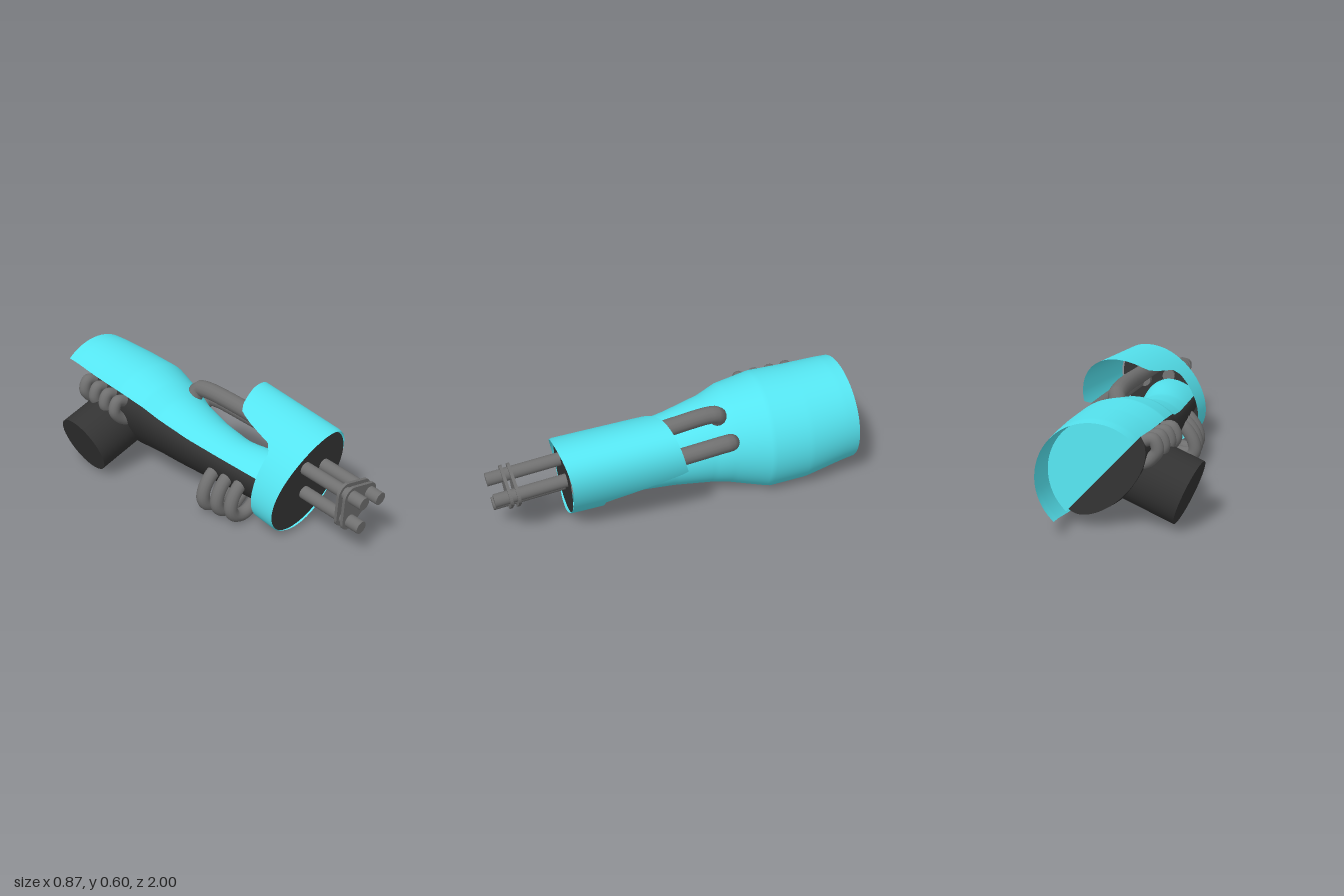
import * as THREE from 'three';
import { ParametricGeometry } from 'three/addons/geometries/ParametricGeometry.js';

const mat = (color) => new THREE.MeshStandardMaterial({ color, side: THREE.DoubleSide });
const CYAN = mat(0x55e4f0), DARK = mat(0x333333), GREY = mat(0x707070);
const V = (x, y, z) => new THREE.Vector3(x, y, z);
const rad = THREE.MathUtils.degToRad;
const step = THREE.MathUtils.smoothstep;

// linear interpolation in a table of rows sorted by their first entry
function lookup(rows, k) {
  let i = 0;
  while (i < rows.length - 2 && k > rows[i + 1][0]) i++;
  const t = THREE.MathUtils.clamp((k - rows[i][0]) / (rows[i + 1][0] - rows[i][0]), 0, 1);
  return rows[i].slice(1).map((a, j) => a + (rows[i + 1][j + 1] - a) * t);
}

// forearm stations: z, centre x, centre y, radius
const ARM = [
  [-0.97, -0.025, 0.315, 0.285], [-0.9, -0.02, 0.308, 0.292], [-0.7, -0.007, 0.275, 0.313],
  [-0.5, -0.003, 0.26, 0.319], [-0.3, -0.012, 0.26, 0.27], [-0.2, -0.008, 0.242, 0.238],
  [0, 0.003, 0.22, 0.2], [0.2, 0.022, 0.205, 0.175], [0.6, 0.06, 0.18, 0.14],
];
const N = [0.745, 0.667]; // direction the cyan half of the forearm faces

// point on the forearm: s along the facing direction, t across it, in radii
function armPoint(z, s, t, out) {
  const [cx, cy, r] = lookup(ARM, z);
  const x = cx + r * (s * N[0] - t * N[1]);
  const y = cy + r * (s * N[1] + t * N[0]);
  const w = THREE.MathUtils.clamp((-z - 0.3) / 0.66, 0, 1); // slant of the elbow end
  return out.set(x, y, z + w * 0.08 * (y - 0.3 - x));
}

// cuff: ellipse leaning 45 degrees, rising towards the back
function cuffPoint(angle, z, scale, out) {
  const a = 0.307 * scale * Math.cos(angle), b = 0.2 * scale * Math.sin(angle), k = Math.SQRT1_2;
  return out.set(0.17 + (a - b) * k, 0.275 + (0.6 - z) * 0.105 + (a + b) * k, z);
}
const frontZ = (p) => 0.628 + 0.13 * (p.y - 0.28) - 0.06 * (p.x - 0.165) - 0.35 * (p.x - 0.165) ** 2;

// rear edge of the cuff: angle in degrees, z
const CUFF_EDGE = [[-180, 0.45], [-95, 0.42], [-77, 0.42], [-52, 0], [-35, 0.02], [41, 0.1],
  [65, 0.14], [73, 0.17], [79, 0.28], [84, 0.42], [92, 0.46], [180, 0.45]];

export function createModel() {
  const model = new THREE.Group();
  const add = (name, geometry, material) => {
    const mesh = new THREE.Mesh(geometry, material);
    mesh.name = name;
    model.add(mesh);
    return mesh;
  };
  const surface = (name, fn, nu, nv, material) => add(name, new ParametricGeometry(fn, nu, nv), material);
  const rod = (name, a, b, r, material, sides = 24) => {
    const mesh = add(name, new THREE.CylinderGeometry(r, r, a.distanceTo(b), sides), material);
    mesh.position.copy(a).lerp(b, 0.5);
    mesh.quaternion.setFromUnitVectors(V(0, 1, 0), b.clone().sub(a).normalize());
  };
  const hose = (name, points, r) =>
    add(name, new THREE.TubeGeometry(new THREE.CatmullRomCurve3(points, false, 'centripetal'), 40, r, 14), GREY);

  // forearm: cyan half shell, flaring slightly into the cuff, over a flatter dark core
  surface('forearmShell', (u, v, p) => {
    const a = rad((u - 0.5) * 182), z = -0.97 + v * 1.55;
    armPoint(z, Math.cos(a) * (1 + 0.4 * step(z, 0.15, 0.55)), Math.sin(a), p);
  }, 40, 60, CYAN);
  const coreShape = (z, a, k, p) => {
    const front = step(z, -0.5, -0.1);
    const s = Math.cos(a) * (Math.cos(a) > 0 ? 0.8 : 0.47 + 0.03 * front);
    armPoint(z, s * k, Math.sin(a) * (0.88 + 0.1 * front) * k, p);
  };
  surface('forearmCore', (u, v, p) => coreShape(-0.79 + v * 1.37, u * 2 * Math.PI, 1, p), 48, 50, DARK);
  surface('elbowCap', (u, v, p) => coreShape(-0.79, u * 2 * Math.PI, v, p), 48, 2, DARK);
  surface('elbowCapUpper', (u, v, p) => {
    const a = (u - 0.5) * Math.PI;
    armPoint(-0.8, Math.cos(a) * v * 0.93, Math.sin(a) * v * 0.93, p);
  }, 32, 2, CYAN);

  // elbow joint drum
  rod('elbowDrum', V(-0.385, 0.17, -0.6), V(-0.03, 0.303, -0.6), 0.171, DARK, 40);

  // wrist cuff: narrow ring below, long sleeve above
  surface('wristCuff', (u, v, p) => {
    const deg = u * 360 - 180, a = rad(deg);
    const [back] = lookup(CUFF_EDGE, deg);
    cuffPoint(a, 0.62, 1, p);
    const front = frontZ(p);
    cuffPoint(a, back + (front - back) * v, v > 0.97 ? 0.98 : 1, p);
  }, 120, 24, CYAN);
  surface('wristPlate', (u, v, p) => {
    cuffPoint(u * 2 * Math.PI, 0.6, 0.965 * v, p);
    p.set(p.x - 0.004, p.y - 0.005, 0.603 + 0.09 * (p.y - 0.27) - 0.03 * (p.x - 0.165));
  }, 64, 2, DARK);

  // three rods leaving the wrist
  const dir = V(0.07, -0.11, 1);
  const tips = [V(0.165, 0.318, 1), V(0.305, 0.284, 0.98), V(0.175, 0.167, 0.98)];
  tips.forEach((tip) => rod('wristRod', tip, tip.clone().addScaledVector(dir, -0.41), 0.035, GREY));

  // two rounded triangular plates clamping the rods
  const outline = [];
  const order = [tips[0], tips[2], tips[1]];
  order.forEach((c, i) => {
    const next = order[(i + 1) % 3], prev = order[(i + 2) % 3];
    const a0 = Math.atan2(c.y - prev.y, c.x - prev.x) - Math.PI / 2;
    let a1 = Math.atan2(next.y - c.y, next.x - c.x) - Math.PI / 2;
    while (a1 < a0) a1 += 2 * Math.PI;
    for (let k = 0; k <= 10; k++) {
      const a = a0 + ((a1 - a0) * k) / 10;
      outline.push(new THREE.Vector2(c.x - tips[0].x + 0.053 * Math.cos(a), c.y - tips[0].y + 0.053 * Math.sin(a)));
    }
  });
  const plate = new THREE.ExtrudeGeometry(new THREE.Shape(outline), { depth: 0.016, bevelEnabled: false });
  for (const back of [0.095, 0.135]) {
    const mesh = add('rodClamp', plate, GREY);
    mesh.position.copy(tips[0]).addScaledVector(dir, -back);
    mesh.quaternion.setFromUnitVectors(V(0, 0, 1), dir.clone().normalize());
  }

  // two pipes from the sleeve bending down into the forearm
  hose('upperPipe', [V(0.22, 0.42, 0.59), V(0.197, 0.455, 0.25), V(0.178, 0.481, 0.05), V(0.148, 0.5, -0.17),
    V(0.138, 0.49, -0.225), V(0.11, 0.44, -0.24), V(0.05, 0.36, -0.24)], 0.046);
  hose('sidePipe', [V(0.325, 0.32, 0.59), V(0.308, 0.345, 0.25), V(0.29, 0.367, 0), V(0.265, 0.385, -0.22),
    V(0.25, 0.38, -0.268), V(0.2, 0.345, -0.28), V(0.1, 0.3, -0.27)], 0.046);

  // three looped hoses under the wrist
  for (let i = 0; i < 3; i++) {
    const z = 0.165 + i * 0.09, dx = i * 0.018;
    hose('wristHose', [[-0.06, 0.25], [-0.115, 0.21], [-0.155, 0.15], [-0.165, 0.095], [-0.145, 0.055],
      [-0.1, 0.037], [-0.05, 0.045], [0.02, 0.1]].map(([x, y]) => V(x + dx, y, z)), 0.036);
  }

  // four short hoses between core and shell by the elbow
  for (let i = 0; i < 4; i++) {
    const z = -0.73 + i * 0.09, dy = -i * 0.009;
    hose('elbowHose', [[-0.13, 0.33], [-0.2, 0.35], [-0.245, 0.385], [-0.267, 0.425], [-0.245, 0.475],
      [-0.19, 0.46]].map(([x, y]) => V(x, y + dy, z)), 0.032);
  }
  return model;
}
